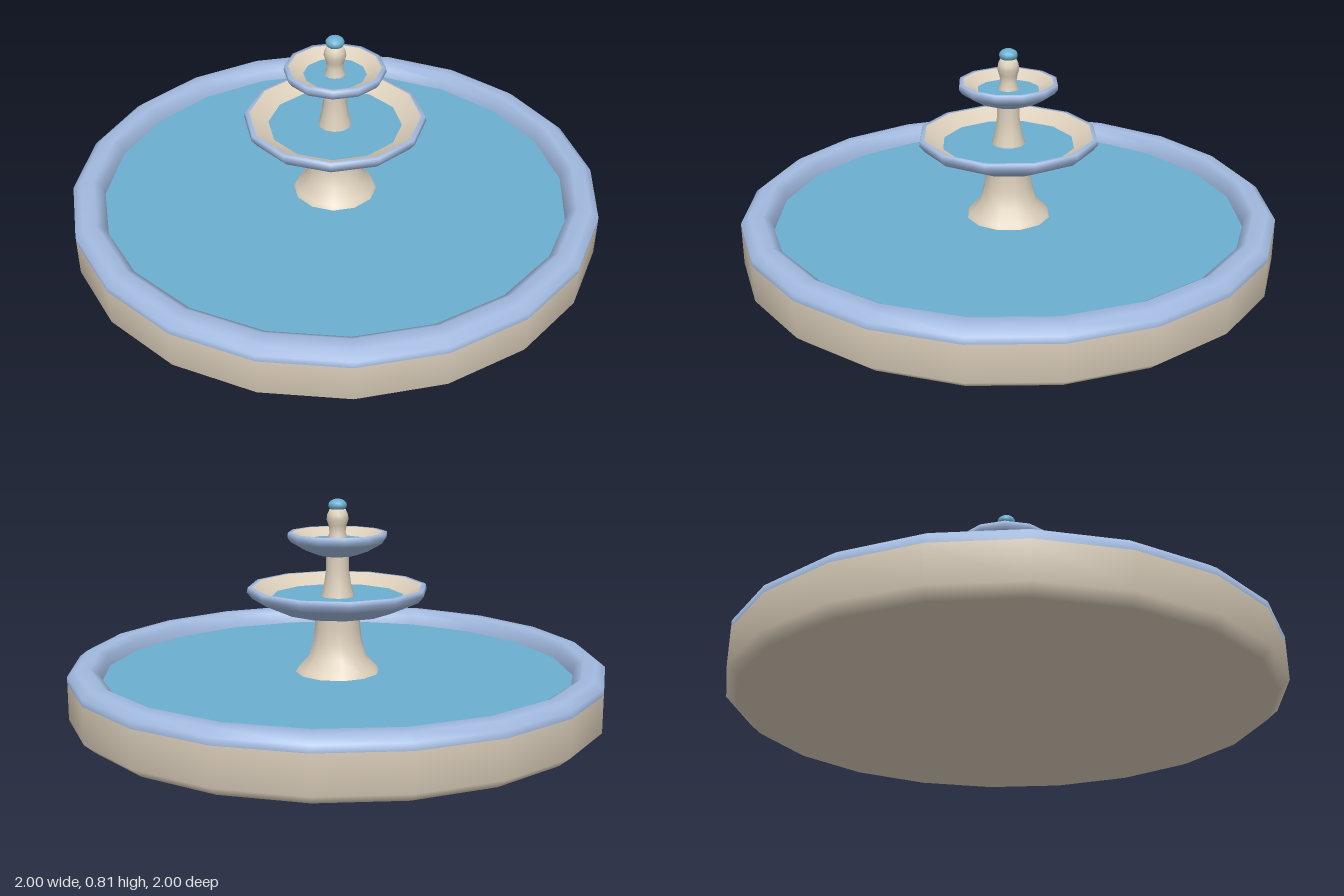
import * as THREE from 'three';

const stone = new THREE.MeshStandardMaterial({ color: 0xdccfbb });
stone.name = 'stone';
const trim = new THREE.MeshStandardMaterial({ color: 0xa2bae0 });
trim.name = 'blue trim';
const water = new THREE.MeshStandardMaterial({ color: 0x6bafd0 });
water.name = 'water';

export function createModel() {
  const model = new THREE.Group();
  model.name = 'fountain';

  // Turned part: profile of [radius, height] running up the outside
  const turn = (name, material, sides, profile, parent = model) => {
    const points = profile.map(([r, y]) => new THREE.Vector2(r, y));
    const mesh = new THREE.Mesh(new THREE.LatheGeometry(points, sides), material);
    mesh.name = name;
    parent.add(mesh);
    return mesh;
  };

  // Flat water surface
  const surface = (name, radius, y, sides, parent = model) => {
    const mesh = new THREE.Mesh(new THREE.CircleGeometry(radius, sides), water);
    mesh.name = name;
    mesh.rotation.x = -Math.PI / 2;
    mesh.position.y = y;
    parent.add(mesh);
  };

  // Pool
  const pool = new THREE.Group();
  pool.name = 'pool';
  model.add(pool);
  turn('poolWall', stone, 20, [[0, 0], [0.96, 0], [1, 0.035], [1, 0.17]], pool);
  turn('poolRim', trim, 20,
    [[1, 0.17], [1, 0.195], [0.97, 0.218], [0.92, 0.22], [0.89, 0.2], [0.88, 0.15]], pool);
  surface('poolWater', 0.885, 0.16, 20, pool);

  // Pedestal and upper stem
  turn('pedestal', stone, 12,
    [[0.165, 0.15], [0.15, 0.175], [0.108, 0.22], [0.093, 0.28], [0.086, 0.33], [0.086, 0.38]]);
  turn('upperStem', stone, 12,
    [[0.065, 0.44], [0.052, 0.49], [0.043, 0.55], [0.043, 0.62]]);

  // Bowls: blue shell and lip, stone lining, water
  const bowl = (name, shell, lining, waterRadius, waterY) => {
    const group = new THREE.Group();
    group.name = name;
    model.add(group);
    turn(name + 'Shell', trim, 12, shell, group);
    turn(name + 'Lining', stone, 12, lining, group);
    surface(name + 'Water', waterRadius, waterY, 12, group);
  };
  bowl('lowerBowl',
    [[0, 0.37], [0.09, 0.37], [0.21, 0.395], [0.32, 0.445], [0.34, 0.47], [0.336, 0.488], [0.32, 0.488]],
    [[0.32, 0.488], [0.25, 0.448], [0.2, 0.43]], 0.25, 0.449);
  bowl('upperBowl',
    [[0, 0.603], [0.07, 0.605], [0.12, 0.623], [0.175, 0.655], [0.187, 0.672], [0.185, 0.69], [0.17, 0.69]],
    [[0.17, 0.69], [0.115, 0.66], [0.09, 0.645]], 0.116, 0.661);

  // Finial and the bubble of water on top
  turn('finial', stone, 12,
    [[0.042, 0.65], [0.03, 0.69], [0.034, 0.715], [0.041, 0.737], [0.039, 0.755], [0.03, 0.775], [0, 0.78]]);
  const bubble = new THREE.Mesh(new THREE.SphereGeometry(0.035, 12, 8), water);
  bubble.name = 'waterBubble';
  bubble.scale.y = 0.68;
  bubble.position.y = 0.79;
  model.add(bubble);

  return model;
}
